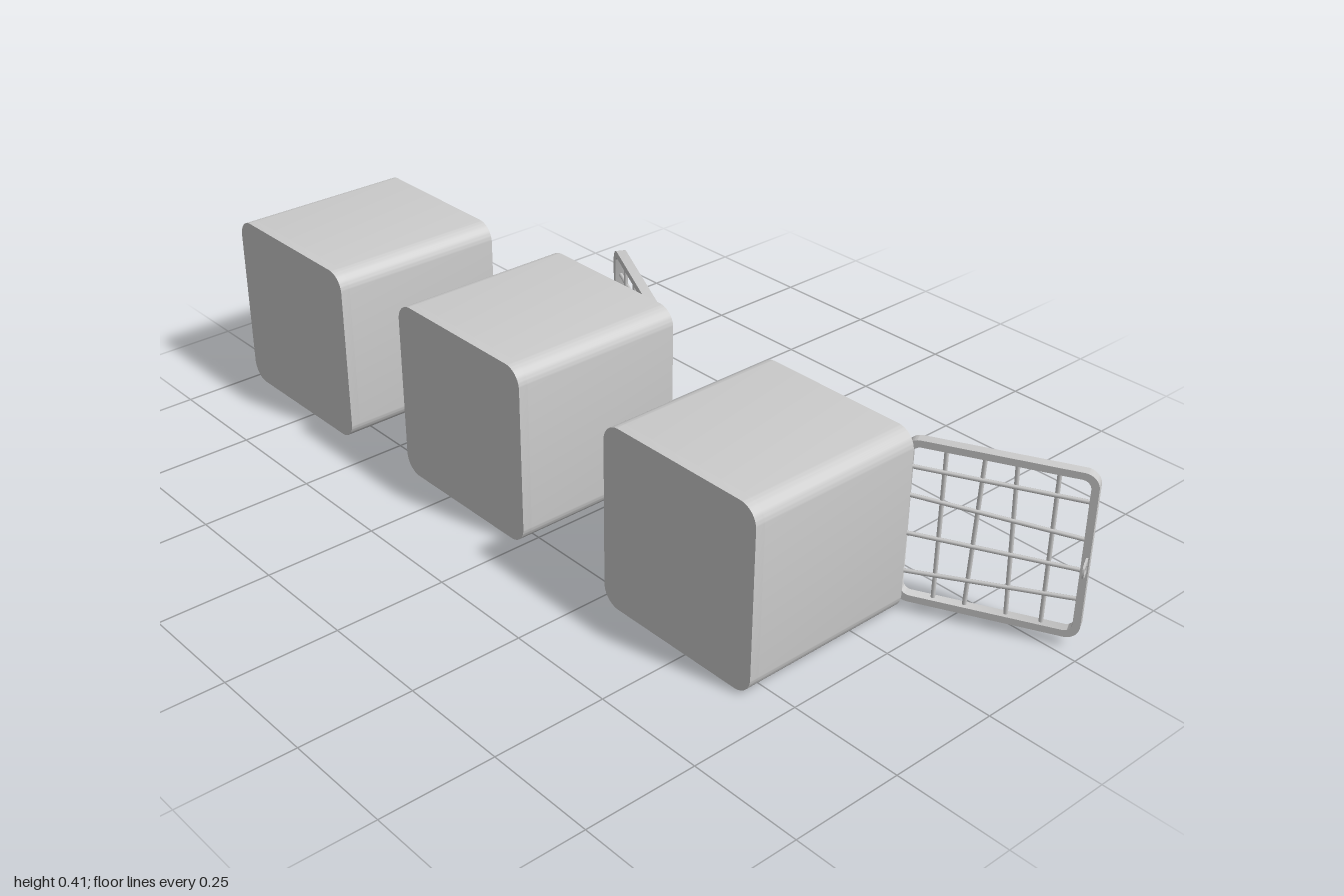
import * as THREE from 'three';
import { toCreasedNormals } from 'three/addons/utils/BufferGeometryUtils.js';

const SIZE = 0.412, WALL = 0.022, DOOR = 0.366, THICK = 0.022, LATCH_Y = 0.194;
const material = new THREE.MeshStandardMaterial({ color: 0xcccccc });

function add(parent, name, geometry, x = 0, y = 0, z = 0) {
  const mesh = new THREE.Mesh(geometry, material);
  mesh.name = name;
  mesh.position.set(x, y, z);
  parent.add(mesh);
  return mesh;
}

// Rounded square centred on the origin
function roundedSquare(size, r, Type = THREE.Shape) {
  const h = size / 2, s = new Type();
  s.moveTo(h, -h + r);
  s.absarc(h - r, h - r, r, 0, Math.PI / 2);
  s.absarc(-h + r, h - r, r, Math.PI / 2, Math.PI);
  s.absarc(-h + r, -h + r, r, Math.PI, Math.PI * 1.5);
  s.absarc(h - r, -h + r, r, Math.PI * 1.5, Math.PI * 2);
  return s;
}

function extrude(shape, depth) {
  const g = new THREE.ExtrudeGeometry(shape, { depth, bevelEnabled: false, curveSegments: 8 });
  return toCreasedNormals(g, 0.6);
}

// Extrusion running along +x from the origin
const extrudeX = (shape, depth) => extrude(shape, depth).rotateY(Math.PI / 2);

// Round bar between two points
function barGeometry(a, b, radius) {
  return new THREE.TubeGeometry(new THREE.LineCurve3(a, b), 1, radius, 8);
}

// Flat eyelet pointing to +x
function eyelet(parent, name, x, y, z) {
  const s = new THREE.Shape();
  s.moveTo(-0.006, -0.016);
  s.lineTo(0.018, -0.016);
  s.absarc(0.018, 0, 0.016, -Math.PI / 2, Math.PI / 2);
  s.lineTo(-0.006, 0.016);
  const hole = new THREE.Path();
  hole.absarc(0.018, 0, 0.01, 0, Math.PI * 2, true);
  s.holes.push(hole);
  add(parent, name, extrude(s, 0.004).translate(0, 0, -0.002), x, y, z);
}

// Door with its hinge line at the origin, reaching towards -z
function makeDoor() {
  const door = new THREE.Group();
  door.name = 'door';
  const frame = roundedSquare(DOOR, 0.03);
  frame.holes.push(roundedSquare(DOOR - 0.03, 0.018, THREE.Path));
  add(door, 'doorFrame', extrudeX(frame, THICK), -THICK, SIZE / 2, -DOOR / 2);

  // Slightly crooked bars: [hinge end y, free end y] and [bottom, top] distance from hinge
  const rows = [[0.325, 0.325], [0.262, 0.243], [0.175, 0.175], [0.087, 0.11]];
  for (const [y0, y1] of rows) {
    add(door, 'horizontalBar', barGeometry(
      new THREE.Vector3(-0.009, y0, -0.008), new THREE.Vector3(-0.009, y1, -DOOR + 0.008), 0.0045));
  }
  const columns = [[0.078, 0.078], [0.14, 0.152], [0.222, 0.212], [0.29, 0.29]];
  for (const [z0, z1] of columns) {
    add(door, 'verticalBar', barGeometry(
      new THREE.Vector3(-0.013, 0.03, -z0), new THREE.Vector3(-0.013, SIZE - 0.03, -z1), 0.0045));
  }
  eyelet(door, 'doorEyelet', 0, LATCH_Y, -DOOR + 0.005);
  return door;
}

function makePadlock() {
  const lock = new THREE.Group();
  lock.name = 'padlock';
  add(lock, 'padlockBody', new THREE.BoxGeometry(0.02, 0.033, 0.034), 0, -0.036, 0);
  const points = [new THREE.Vector3(0, -0.022, -0.011)];
  for (let i = 0; i <= 8; i++) {
    const a = Math.PI * (1 - i / 8);
    points.push(new THREE.Vector3(0, 0.011 * Math.sin(a), 0.011 * Math.cos(a)));
  }
  points.push(new THREE.Vector3(0, -0.022, 0.011));
  add(lock, 'shackle', new THREE.TubeGeometry(new THREE.CatmullRomCurve3(points), 24, 0.0035, 8));
  return lock;
}

// Crate open on its +x side; the door swings outward by the given angle
function makeCage(name, front, z, angle, locked) {
  const cage = new THREE.Group();
  cage.name = name;
  cage.position.set(front, 0, z);
  const shell = roundedSquare(SIZE, 0.042);
  shell.holes.push(roundedSquare(SIZE - 2 * WALL, 0.03, THREE.Path));
  add(cage, 'shell', extrudeX(shell, SIZE - WALL), WALL - SIZE, SIZE / 2, 0);
  add(cage, 'backWall', extrudeX(roundedSquare(SIZE, 0.042), WALL), -SIZE, SIZE / 2, 0);
  eyelet(cage, 'shellEyelet', 0, LATCH_Y, -SIZE / 2 + 0.012);

  const door = makeDoor();
  door.position.z = DOOR / 2;
  door.rotation.y = -THREE.MathUtils.degToRad(angle);
  cage.add(door);

  if (locked) {
    const lock = makePadlock();
    lock.position.set(0.018, LATCH_Y, -SIZE / 2 + 0.02);
    cage.add(lock);
  }
  return cage;
}

export function createModel() {
  const model = new THREE.Group();
  model.name = 'cages';
  model.add(
    makeCage('wideOpenCage', 0.118, 0.47, 153.4, false),
    makeCage('halfOpenCage', 0.118, -0.2, 26.6, false),
    makeCage('lockedCage', 0.094, -0.794, 0, true));
  return model;
}
